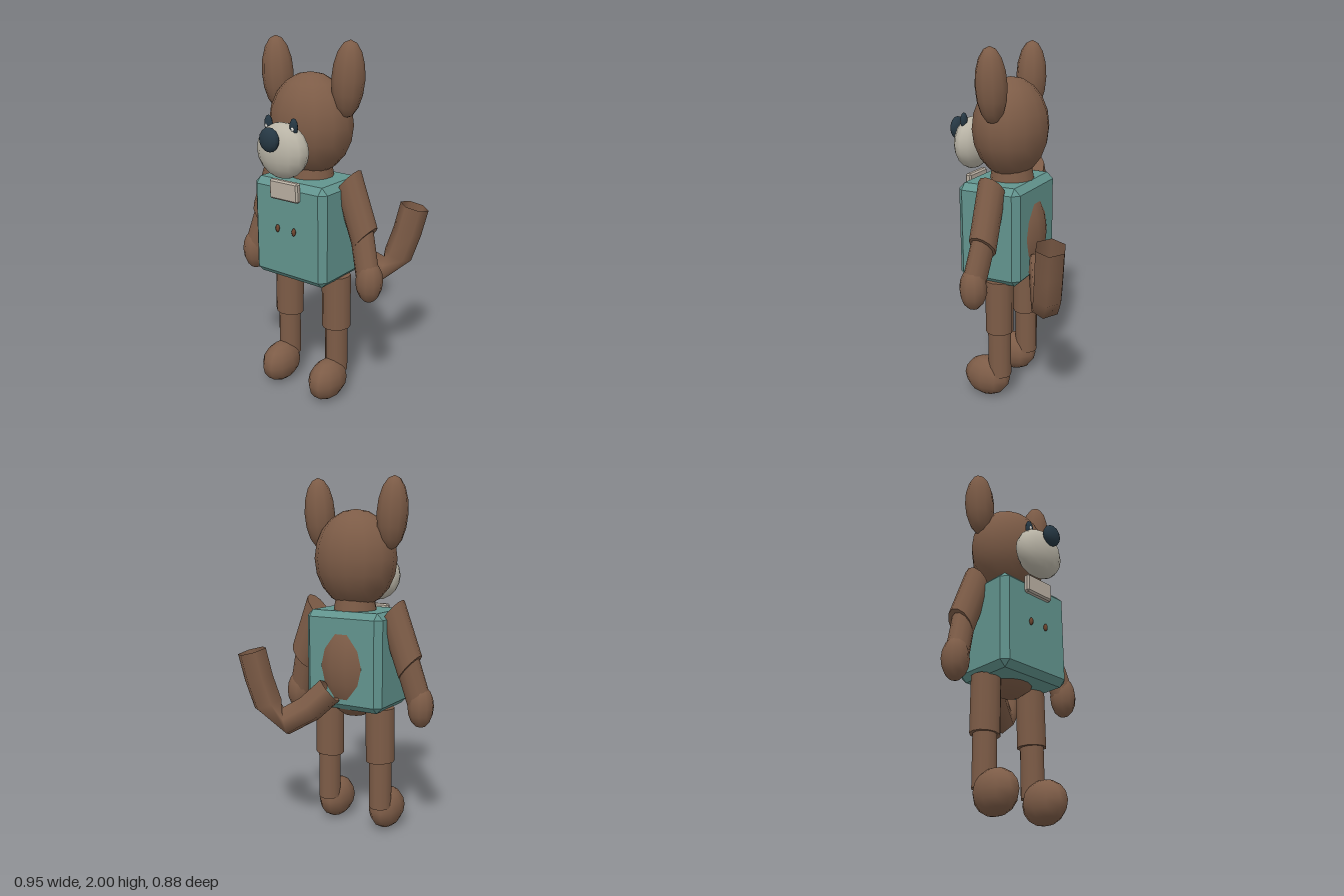
import * as THREE from 'three';
import { ConvexGeometry } from 'three/addons/geometries/ConvexGeometry.js';

const mat = (name, color, side = THREE.FrontSide) => {
  const m = new THREE.MeshStandardMaterial({ color, side });
  m.name = name;
  return m;
};

export function createModel() {
  const model = new THREE.Group();
  model.name = 'plushAnimal';

  const fur = mat('brown fur', 0x7d5c47, THREE.DoubleSide);
  const cloth = mat('teal cloth', 0x62948e);
  const cream = mat('cream muzzle', 0xb9b4a6);
  const tagCream = mat('pale tag', 0xb8aea1);
  const dark = mat('dark blue', 0x263844);
  const button = mat('button brown', 0x70462f);
  const white = mat('eye white', 0xe8e8e4);

  const add = (name, geometry, material, parent = model) => {
    const mesh = new THREE.Mesh(geometry, material);
    mesh.name = name;
    parent.add(mesh);
    return mesh;
  };

  // Ellipsoid from centre and radii
  const ball = (name, material, c, r, w = 12, h = 8) => {
    const g = new THREE.SphereGeometry(1, w, h);
    g.scale(...r);
    const mesh = add(name, g, material);
    mesh.position.set(...c);
    return mesh;
  };

  // Box with every edge cut at 45 degrees
  const chamferBox = (name, material, c, s, cut) => {
    const pts = [];
    const half = s.map((v) => v / 2);
    for (const i of [-1, 1]) for (const j of [-1, 1]) for (const k of [-1, 1]) {
      for (let axis = 0; axis < 3; axis++) {
        const p = [i, j, k].map((sign, n) => sign * (half[n] - (n === axis ? 0 : cut)));
        pts.push(new THREE.Vector3(...p));
      }
    }
    const mesh = add(name, new ConvexGeometry(pts), material);
    mesh.position.set(...c);
    return mesh;
  };

  // Slanted cylinder between two points; `cross` is the sideways half-width vector
  const limb = (name, top, bottom, cross, depth) => {
    const a = new THREE.Vector3(...top);
    const b = new THREE.Vector3(...bottom);
    const g = new THREE.CylinderGeometry(1, 1, 1, 12);
    const m = new THREE.Matrix4().makeBasis(
      new THREE.Vector3(...cross), a.clone().sub(b), new THREE.Vector3(0, 0, depth));
    m.setPosition(a.add(b).multiplyScalar(0.5));
    g.applyMatrix4(m);
    return add(name, g, fur);
  };

  // Head and face
  ball('head', fur, [0, 1.56, 0.055], [0.238, 0.27, 0.203], 14, 10);
  ball('muzzle', cream, [0, 1.457, 0.29], [0.155, 0.145, 0.09], 14, 10);
  ball('nose', dark, [0, 1.53, 0.392], [0.059, 0.063, 0.034]);

  // Torso and neck
  ball('torso', fur, [0, 0.975, 0.05], [0.21, 0.31, 0.195], 14, 10);
  const neck = add('neck', new THREE.CylinderGeometry(0.11, 0.13, 0.12, 14), fur);
  neck.position.set(0, 1.285, 0.05);

  // Jacket and its tag
  chamferBox('jacket', cloth, [0, 1.005, 0.081], [0.48, 0.55, 0.37], 0.035);
  chamferBox('collarTag', tagCream, [0, 1.242, 0.278], [0.186, 0.106, 0.036], 0.009);

  // Mirrored parts
  for (const s of [-1, 1]) {
    const side = s > 0 ? 'left' : 'right';
    const ear = ball(side + 'Ear', fur, [s * 0.23, 1.806, 0.047], [0.086, 0.195, 0.084], 10, 8);
    ear.rotation.z = -s * 0.06;
    ball(side + 'Eye', dark, [s * 0.082, 1.588, 0.3], [0.025, 0.045, 0.018], 8, 6);
    ball(side + 'EyeGlint', white, [s * 0.085, 1.58, 0.314], [0.01, 0.012, 0.008], 6, 4);
    ball(side + 'Button', button, [s * 0.055, 1.023, 0.277], [0.011, 0.022, 0.012], 8, 6);

    // Arm
    limb(side + 'UpperArm', [s * 0.24, 1.28, 0.045], [s * 0.35, 0.985, 0.045],
      [0.06, s * 0.07, 0], 0.073);
    limb(side + 'Forearm', [s * 0.335, 0.995, 0.05], [s * 0.395, 0.78, 0.078],
      [0.055, s * 0.055, 0], 0.06);
    ball(side + 'Hand', fur, [s * 0.402, 0.765, 0.076], [0.073, 0.118, 0.075], 10, 8);

    // Leg
    limb(side + 'Thigh', [s * 0.165, 0.735, 0.046], [s * 0.169, 0.425, 0.046],
      [0.083, s * 0.005, 0], 0.077);
    limb(side + 'Shin', [s * 0.17, 0.44, 0.046], [s * 0.171, 0.15, 0.046],
      [0.063, 0, 0], 0.066);
    ball(side + 'Foot', fur, [s * 0.171, 0.12, 0.129], [0.093, 0.118, 0.14], 10, 8);
  }

  // Hooked tail, open at its ends
  const path = new THREE.CatmullRomCurve3([
    [0.04, 0.85, -0.155], [0.165, 0.725, -0.23], [0.28, 0.675, -0.295],
    [0.35, 0.82, -0.335], [0.405, 1.07, -0.37],
  ].map((p) => new THREE.Vector3(...p)));
  add('tail', new THREE.TubeGeometry(path, 5, 0.082, 6), fur);

  return model;
}
